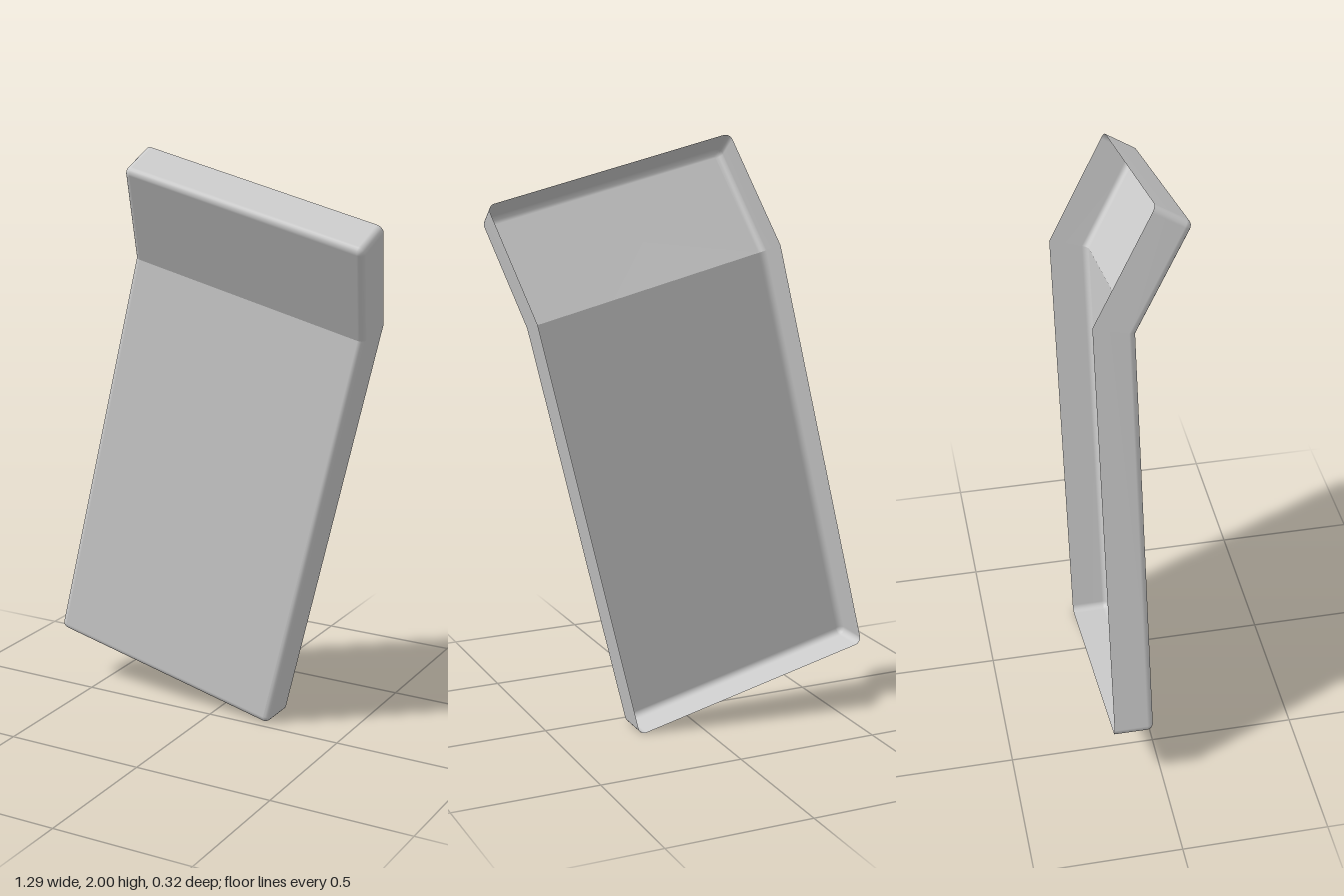
import * as THREE from 'three';

const HALF_WIDTH = 0.4445, DEPTH = 0.136, BEND = Math.PI / 6;
const BEND_V = 0.523, FRONT_Z = -0.026;   // where the front face folds
const CORNER = 0.024, FILLET = 0.022, STEPS = 5;

// Places a point of the flat tray (across, along from the fold, depth behind the front) on the bent one
function place(u, s, d) {
  if (s === 0) return [u, BEND_V + d * Math.tan(BEND / 2), FRONT_Z - d];
  if (s < 0) return [u, BEND_V + s, FRONT_Z - d];
  const c = Math.cos(BEND), n = Math.sin(BEND);
  return [u, BEND_V + s * c + d * n, FRONT_Z + s * n - d * c];
}

// U-shaped outline running from the fold, round the far end and back to the fold
function outline(length, inset, sign) {
  const pts = [[HALF_WIDTH - inset, 0]];
  for (const [side, start] of [[1, 0], [-1, -Math.PI / 2]]) {
    for (let i = 0; i <= STEPS; i++) {
      const a = start - (i / STEPS) * Math.PI / 2, r = CORNER - inset;
      pts.push([side * (HALF_WIDTH - CORNER) + r * Math.cos(a), -(length - CORNER) + r * Math.sin(a)]);
    }
  }
  pts.push([-(HALF_WIDTH - inset), 0]);
  return pts.map(([u, s]) => [sign * u, s === 0 ? 0 : sign * s]);
}

// One side of the fold: front face, rounded edge and wall, open at the back
function traySection(name, length, sign) {
  const rings = [];
  for (let k = 0; k <= STEPS; k++) {
    const a = (k / STEPS) * Math.PI / 2;
    rings.push([FILLET * (1 - Math.sin(a)), FILLET * (1 - Math.cos(a))]);
  }
  rings.push([0, DEPTH]);

  const positions = [], index = [];
  let n = 0;
  for (const [inset, d] of rings) {
    const pts = outline(length, inset, sign);
    n = pts.length;
    for (const [u, s] of pts) positions.push(...place(u, s, d));
  }
  for (let i = 1; i < n - 1; i++) index.push(0, i + 1, i);   // front face
  for (let r = 0; r < rings.length - 1; r++) {
    for (let i = 0; i < n - 1; i++) {
      const a = r * n + i, b = a + 1, c = b + n, e = a + n;
      index.push(a, b, c, a, c, e);
    }
  }
  const geometry = new THREE.BufferGeometry();
  geometry.setAttribute('position', new THREE.Float32BufferAttribute(positions, 3));
  geometry.setIndex(index);
  geometry.computeVertexNormals();
  const mesh = new THREE.Mesh(geometry, new THREE.MeshStandardMaterial({ color: 0xcccccc, side: THREE.DoubleSide }));
  mesh.name = name;
  return mesh;
}

export function createModel() {
  const tray = new THREE.Group();
  tray.name = 'bentTray';
  tray.add(traySection('mainPanel', 1.449, -1 * -1));
  tray.add(traySection('tiltedTopPanel', 0.39, -1));
  // The whole panel leans sideways
  tray.rotation.z = THREE.MathUtils.degToRad(-13.5);
  tray.position.y = 1;
  const model = new THREE.Group();
  model.add(tray);
  return model;
}
